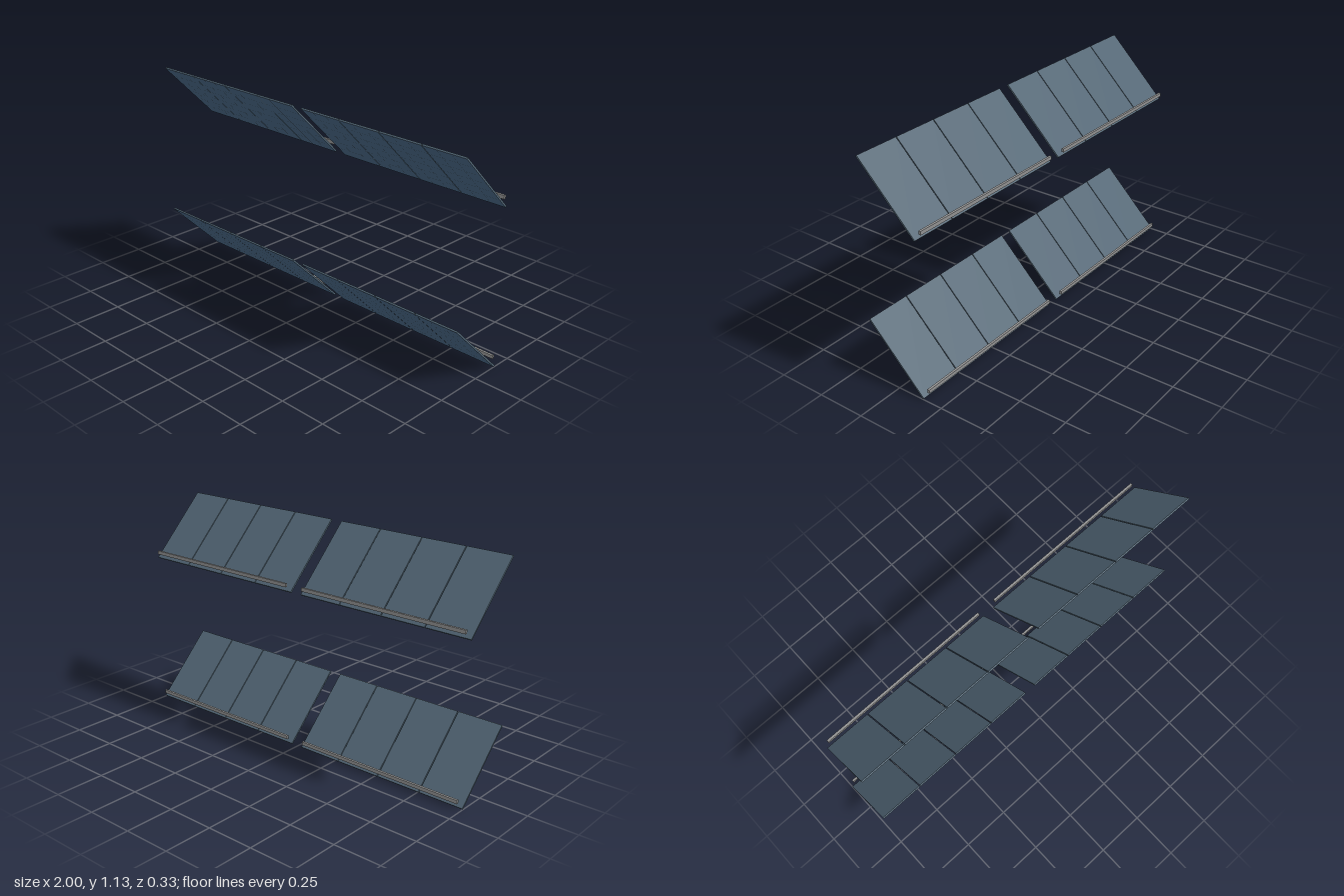
import * as THREE from 'three';

export function createModel() {
  const model = new THREE.Group();
  const mat = (name, color) => {
    const m = new THREE.MeshStandardMaterial({ color });
    m.name = name;
    return m;
  };
  const slate = mat('slate backing', 0x506473);
  const blue = mat('blue cells', 0x446280);
  const dark = mat('dark cell lines', 0x2a3642);
  const steel = mat('steel rail', 0x909090);

  const addBox = (parent, name, material, size, pos) => {
    const mesh = new THREE.Mesh(new THREE.BoxGeometry(...size), material);
    mesh.name = name;
    mesh.position.set(...pos);
    parent.add(mesh);
  };
  // Thin face on the underside of a panel, turned to face local -y
  const addFace = (parent, name, material, w, l, [x, y, z]) => {
    const mesh = new THREE.Mesh(new THREE.PlaneGeometry(w, l).rotateX(Math.PI / 2), material);
    mesh.name = name;
    mesh.position.set(x, y, z);
    parent.add(mesh);
  };

  const width = 0.2385, gap = 0.0045, length = 0.434, thick = 0.0085;
  const cols = 3, rows = 6, line = 0.0016;

  // One panel: backing plate, cell face on the lower front side, cell lines
  const makePanel = () => {
    const panel = new THREE.Group();
    panel.name = 'solarPanel';
    addBox(panel, 'backing', slate, [width, thick, length], [0, 0, 0]);
    const y = -thick / 2;
    addFace(panel, 'cellFace', blue, width, length, [0, y - 0.0004, 0]);
    for (let c = 1; c < cols; c++) {
      addFace(panel, 'columnLine', dark, line, length, [(c / cols - 0.5) * width, y - 0.0008, 0]);
    }
    for (let r = 1; r < rows; r++) {
      addFace(panel, 'rowLine', dark, width, line, [0, y - 0.0008, (r / rows - 0.5) * length]);
    }
    return panel;
  };

  // Two tiers, each with a left and a right array of four panels and a rail
  for (const y of [0, 0.812]) {
    for (const side of [-1, 1]) {
      const array = new THREE.Group();
      array.name = (y ? 'upper' : 'lower') + (side > 0 ? 'Left' : 'Right') + 'Array';
      array.position.y = y;
      for (let i = 0; i < 4; i++) {
        const panel = makePanel();
        panel.rotation.x = -Math.PI / 4;
        panel.position.set(side * (1 - width / 2 - i * (width + gap)), 0.1565, 0.0085);
        array.add(panel);
      }
      addBox(array, 'rail', steel, [0.93, 0.018, 0.012], [side * 0.516, 0.039, -0.159]);
      model.add(array);
    }
  }
  return model;
}
